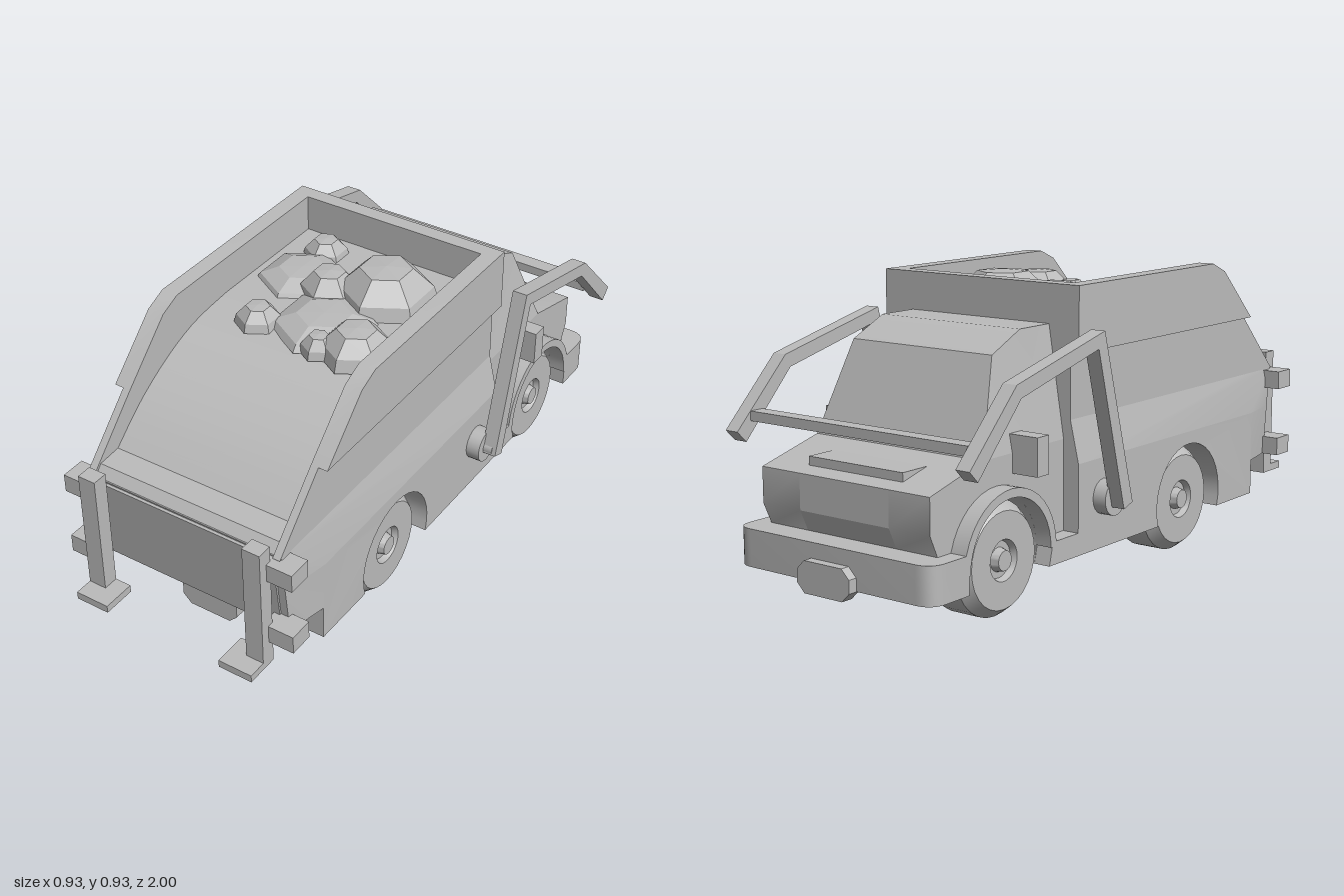
import * as THREE from 'three';
import { toCreasedNormals } from 'three/addons/utils/BufferGeometryUtils.js';

const WHEEL_Y = 0.175, FRONT_Z = 0.31, CAB_Z = -0.62, ARCH_R = 0.185;

export function createModel() {
  const model = new THREE.Group();
  const grey = new THREE.MeshStandardMaterial({ color: 0xbbbbbb });
  grey.name = 'plain grey';

  const add = (name, geo) => {
    const mesh = new THREE.Mesh(geo, grey);
    mesh.name = name;
    model.add(mesh);
    return mesh;
  };
  const box = (name, x0, x1, y0, y1, z0, z1) => {
    const geo = new THREE.BoxGeometry(x1 - x0, y1 - y0, z1 - z0);
    geo.translate((x0 + x1) / 2, (y0 + y1) / 2, (z0 + z1) / 2);
    return add(name, geo);
  };
  // side profile of [z, y] points, extruded from x0 to x1
  const slab = (pts, x0, x1) => {
    const shape = new THREE.Shape(pts.map(([z, y]) => new THREE.Vector2(z, y)));
    const geo = new THREE.ExtrudeGeometry(shape, { depth: x1 - x0, bevelEnabled: false });
    geo.rotateY(-Math.PI / 2);
    geo.translate(x1, 0, 0);
    return geo;
  };
  // moves x by a rule on (x, y, z) and renews the normals
  const reshape = (geo, rule) => {
    const p = geo.attributes.position;
    for (let i = 0; i < p.count; i++) p.setX(i, rule(p.getX(i), p.getY(i), p.getZ(i)));
    return toCreasedNormals(geo, 0.5);
  };
  const smooth = (geo) => toCreasedNormals(geo, 0.6);
  const arc = (cz, r, a0, a1, n = 20) => Array.from({ length: n + 1 }, (_, i) => {
    const a = a0 + (a1 - a0) * i / n;
    return [cz + r * Math.cos(a), WHEEL_Y + r * Math.sin(a)];
  });
  const bothSides = (name, pts, x0, x1, finish = smooth) => {
    add(name, finish(slab(pts, x0, x1)));
    add(name, finish(slab(pts, -x1, -x0)));
  };
  const clamp = (v) => THREE.MathUtils.clamp(v, 0, 1);
  const low = Math.asin(0.055 / ARCH_R);

  // chassis and flared bed
  box('chassis', -0.18, 0.18, 0.12, 0.45, -0.86, 0.71);
  const flare = (geo) => reshape(geo, (x, y, z) => Math.abs(x) < 0.37 ? x
    : Math.sign(x) * (0.375 - 0.03 * Math.max(clamp((y - 0.4) / 0.13), clamp((z - 0.7) / 0.14))));
  bothSides('bedSide', [[-0.3, 0.12], [-0.3, 0.4], [0.7, 0.4], [0.858, 0.4], [0.84, 0.235],
    [0.71, 0.235], [0.71, 0.12], ...arc(FRONT_Z, ARCH_R, -low, Math.PI + low)], 0.17, 0.375, flare);
  add('bedTop', flare(slab([[-0.3, 0.4], [0.7, 0.4], [0.858, 0.4], [0.87, 0.53], [0.7, 0.53],
    [-0.3, 0.53]], -0.375, 0.375)));
  add('tailgate', slab([[0.6, 0.235], [0.845, 0.235], [0.88, 0.525], [0.6, 0.525]], -0.32, 0.32));

  // hopper walls and load
  bothSides('hopperLowerWall', [[-0.3, 0.53], [0.88, 0.53], [0.685, 0.73], [-0.3, 0.73]], 0.32, 0.345);
  bothSides('hopperUpperWall', [[-0.3, 0.73], [0.685, 0.73], [0.51, 0.9], [0.44, 0.93], [-0.3, 0.93]], 0.32, 0.375);
  box('hopperBackWall', -0.32, 0.32, 0.5, 0.93, -0.3, -0.25);
  const curve = new THREE.SplineCurve([[0.2, 0.81], [0.36, 0.793], [0.5, 0.745], [0.64, 0.665], [0.76, 0.565]]
    .map(([z, y]) => new THREE.Vector2(z, y)));
  add('load', smooth(slab([[-0.26, 0.5], [-0.26, 0.81], ...curve.getPoints(14).map((p) => [p.x, p.y]),
    [0.84, 0.56], [0.87, 0.525], [0.86, 0.5]], -0.32, 0.32)));

  // rocks: [x, z, radius, top y]
  for (const [x, z, r, top] of [[0.11, -0.04, 0.165, 0.925], [0.19, 0.25, 0.12, 0.893],
    [-0.05, 0.03, 0.1, 0.893], [-0.15, 0.27, 0.075, 0.863], [0.09, 0.3, 0.06, 0.863],
    [-0.19, -0.16, 0.075, 0.863], [-0.17, 0.0, 0.15, 0.85], [0.03, 0.18, 0.17, 0.85]]) {
    const h = top - 0.8;
    const geo = new THREE.LatheGeometry([[r, 0], [r * 0.9, h * 0.45], [r * 0.5, h * 0.95], [0, h]]
      .map(([a, b]) => new THREE.Vector2(a, b)), 6).toNonIndexed();
    geo.computeVertexNormals();
    geo.translate(x, 0.8, z);
    add('rock', geo);
  }

  // cab
  const cabOutline = [[-0.3, 0.12], [-0.3, 0.47], [-0.68, 0.47], [-0.91, 0.41], [-0.91, 0.3],
    [-0.88, 0.235], [-0.88, 0.12]];
  add('cabCore', slab(cabOutline, -0.17, 0.17));
  bothSides('cabSide', [...cabOutline, ...arc(CAB_Z, ARCH_R, Math.PI + low, -low)], 0.17, 0.32);
  add('cabTop', reshape(slab([[-0.3, 0.47], [-0.3, 0.81], [-0.44, 0.81], [-0.57, 0.75], [-0.68, 0.47]],
    -0.32, 0.32), (x, y) => x * (1 - 0.17 * clamp((y - 0.47) / 0.28))));
  bothSides('fender', [...arc(CAB_Z, 0.212, 0, Math.PI), ...arc(CAB_Z, ARCH_R, Math.PI, 0)], 0.3, 0.375);
  bothSides('sill', [[-0.3, 0.12], [-0.3, 0.19], [-0.425, 0.19], [-0.443, 0.12]], 0.17, 0.375);

  // wrapped bumper with rounded corners
  const b = new THREE.Shape();
  b.moveTo(-0.375, 0.81);
  b.lineTo(0.375, 0.81);
  b.lineTo(0.375, 0.91);
  b.quadraticCurveTo(0.375, 0.97, 0.315, 0.97);
  b.lineTo(-0.315, 0.97);
  b.quadraticCurveTo(-0.375, 0.97, -0.375, 0.91);
  const bumper = new THREE.ExtrudeGeometry(b, { depth: 0.115, bevelEnabled: false, curveSegments: 8 });
  bumper.rotateX(-Math.PI / 2);
  bumper.translate(0, 0.12, 0);
  add('bumper', smooth(bumper));

  // octagonal plates at both ends
  for (const [y, z, depth] of [[0.125, 0.7, 0.07], [0.14, -1, 0.04]]) {
    const s = new THREE.Shape([[-0.1, -0.02], [-0.072, -0.048], [0.072, -0.048], [0.1, -0.02],
      [0.1, 0.02], [0.072, 0.048], [-0.072, 0.048], [-0.1, 0.02]].map(([u, v]) => new THREE.Vector2(u, v)));
    const geo = new THREE.ExtrudeGeometry(s, { depth, bevelEnabled: false });
    geo.translate(0, y, z);
    add('endPlate', geo);
  }

  // wheels with recessed hubs
  const tyre = [[0, 0.175], [0.145, 0.175], [0.172, 0.21], [0.172, 0.31], [0.145, 0.345], [0.062, 0.345],
    [0.055, 0.325], [0.036, 0.325], [0.03, 0.35], [0, 0.35]].map(([r, x]) => new THREE.Vector2(r, x));
  const wheelGeo = smooth(new THREE.LatheGeometry(tyre, 28).rotateZ(-Math.PI / 2));
  for (const z of [FRONT_Z, CAB_Z]) for (const turn of [0, Math.PI]) {
    const wheel = add('wheel', wheelGeo);
    wheel.position.set(0, 0.173, z);
    wheel.rotation.y = turn;
  }

  // loading arms, pivots and crossbar
  bothSides('loaderArm', [[-0.145, 0.27], [-0.295, 0.805], [-0.71, 0.705], [-0.915, 0.5], [-0.88, 0.465],
    [-0.69, 0.665], [-0.325, 0.755], [-0.19, 0.255]], 0.415, 0.464, (g) => g);
  box('crossbar', -0.42, 0.42, 0.525, 0.555, -0.86, -0.81);
  for (const s of [-1, 1]) {
    const pivot = new THREE.CylinderGeometry(0.055, 0.055, 0.1, 20).rotateZ(Math.PI / 2);
    pivot.translate(s * 0.37, 0.28, -0.17);
    add('armPivot', pivot);
    const pin = new THREE.CylinderGeometry(0.025, 0.025, 0.1, 12).rotateZ(Math.PI / 2);
    pin.translate(s * 0.4, 0.28, -0.17);
    add('pivotPin', pin);

    // mirrors, forks and their brackets
    const side = (name, x0, x1, ...rest) => box(name, Math.min(s * x0, s * x1), Math.max(s * x0, s * x1), ...rest);
    side('mirror', 0.3, 0.41, 0.41, 0.525, -0.547, -0.492);
    side('forkPost', 0.26, 0.32, 0.16, 0.58, 0.89, 0.94);
    side('forkFoot', 0.205, 0.32, 0.15, 0.175, 0.89, 1.0);
    for (const y of [0.235, 0.467]) {
      side('bracket', 0.3, 0.405, y, y + 0.06, 0.83, 0.91);
    }
  }
  return model;
}
